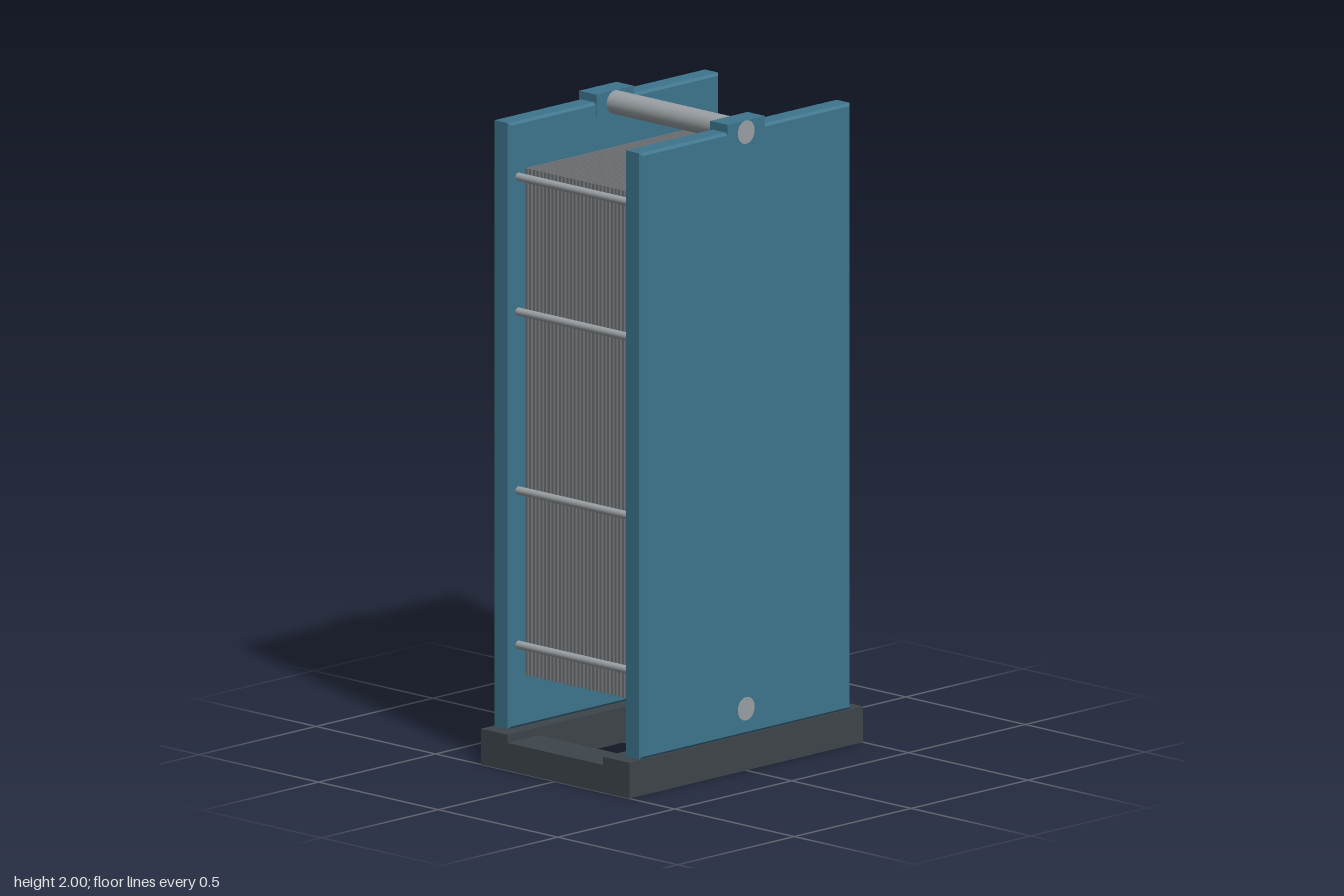
import * as THREE from 'three';

const mat = (color) => new THREE.MeshStandardMaterial({ color });

export function createModel() {
  const model = new THREE.Group();
  const blue = mat(0x3d748c), dark = mat(0x3e454b), steel = mat(0x9aa0a4), plateGrey = mat(0x6f7275);

  const add = (name, geometry, material, x = 0, y = 0, z = 0) => {
    const mesh = new THREE.Mesh(geometry, material);
    mesh.name = name;
    mesh.position.set(x, y, z);
    model.add(mesh);
    return mesh;
  };
  const rod = (name, radius, length, x, y) =>
    add(name, new THREE.CylinderGeometry(radius, radius, length, 32).rotateX(Math.PI / 2), steel, x, y, 0);

  // Base frame: tall front and back rails, lower side rails
  const rail = new THREE.BoxGeometry(1, 0.11, 0.11);
  const sideRail = new THREE.BoxGeometry(0.135, 0.085, 0.4);
  for (const s of [1, -1]) {
    add(s > 0 ? 'baseRailFront' : 'baseRailBack', rail, dark, 0, 0.055, s * 0.255);
    add(s > 0 ? 'baseRailLeft' : 'baseRailRight', sideRail, dark, s * 0.4325, 0.0425, 0);
  }

  // Chamfered end plates, each with a hanger tab on top
  const b = 0.008, depth = 0.07, w = 0.45 - b, y0 = 0.11 + b, y1 = 1.975 - b;
  const outline = new THREE.Shape();
  outline.moveTo(-w, y0).lineTo(w, y0).lineTo(w, y1).lineTo(-w, y1).closePath();
  const endPlate = new THREE.ExtrudeGeometry(outline, {
    depth: depth - 2 * b, bevelSize: b, bevelThickness: b, bevelSegments: 1,
  }).translate(0, 0, b - depth / 2);
  const tab = new THREE.BoxGeometry(0.16, 0.07, 0.072);
  for (const s of [1, -1]) {
    const side = s > 0 ? 'Front' : 'Back';
    add('endPlate' + side, endPlate, blue, 0, 0, s * 0.275);
    add('hangerTab' + side, tab, blue, 0, 1.965, s * 0.274);
  }

  // Carrying bar and lower guide bar, ends flush with the end plates
  rod('carryingBar', 0.036, 0.621, 0, 1.964);
  rod('guideBar', 0.036, 0.621, 0, 0.19);

  // Tie rods along both sides
  for (const x of [-0.412, 0.412])
    for (const y of [0.365, 0.84, 1.39, 1.805]) rod('tieRod', 0.0125, 0.5, x, y);

  // Stack of thin heat exchange plates
  const count = 30, pitch = 0.0155;
  const thinPlate = new THREE.BoxGeometry(0.785, 1.56, 0.0085);
  for (let i = 0; i < count; i++)
    add('exchangePlate', thinPlate, plateGrey, 0, 1.05, (i - (count - 1) / 2) * pitch);

  // Hollow flanged ports on the left side: radius, distance along x
  const profile = [
    [0.026, 0.36], [0.035, 0.36], [0.035, 0.474], [0.053, 0.474], [0.056, 0.477],
    [0.056, 0.497], [0.053, 0.5], [0.034, 0.5], [0.026, 0.492], [0.026, 0.36],
  ];
  // Separate bands keep the edges crisp
  for (const y of [0.44, 1.63])
    for (const z of [-0.15, 0.15]) {
      const port = new THREE.Group();
      port.name = 'flangedPort';
      port.position.set(0, y, z);
      port.rotation.z = -Math.PI / 2;
      for (let i = 0; i < profile.length - 1; i++) {
        const band = profile.slice(i, i + 2).map(([r, h]) => new THREE.Vector2(r, h));
        const mesh = new THREE.Mesh(new THREE.LatheGeometry(band, 32), steel);
        mesh.name = 'portSurface';
        port.add(mesh);
      }
      model.add(port);
    }

  return model;
}
